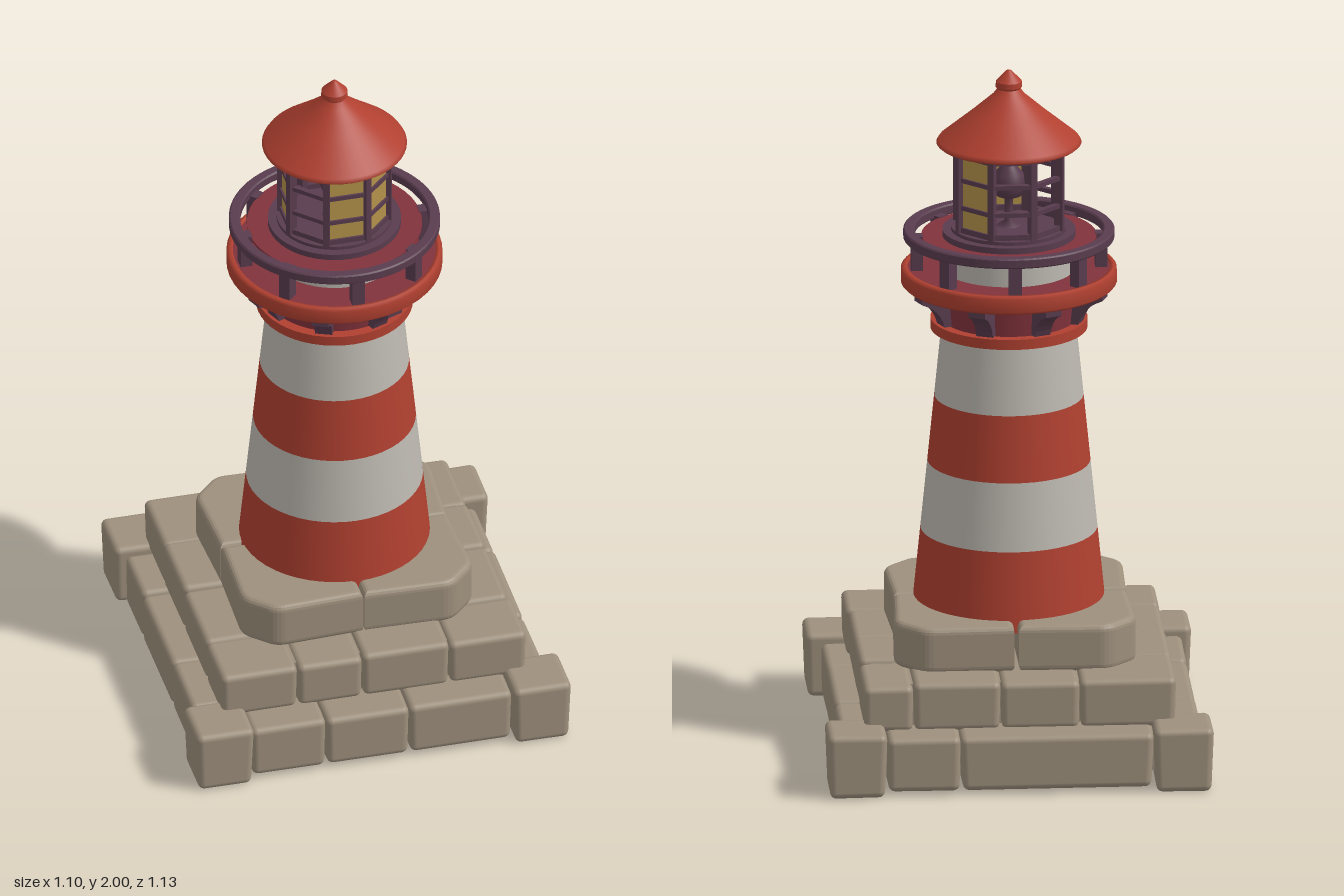
import * as THREE from 'three';
import { RoundedBoxGeometry } from 'three/addons/geometries/RoundedBoxGeometry.js';

const mat = (name, color, side = THREE.FrontSide) => {
  const m = new THREE.MeshStandardMaterial({ color, side });
  m.name = name;
  return m;
};

export function createModel() {
  const stone = mat('stone', 0x9d8f7c);
  const red = mat('red paint', 0xb04030);
  const white = mat('white paint', 0xbdb9b1);
  const maroon = mat('maroon deck', 0x82333c);
  const iron = mat('purple iron', 0x593c4e);
  const glass = mat('amber glass', 0xb3924a, THREE.DoubleSide);

  const model = new THREE.Group();
  const tower = new THREE.Group();
  tower.name = 'tower';
  tower.position.set(-0.002, 0, -0.011);
  model.add(tower);

  let seed = 7;
  const rand = () => {
    seed = (seed * 16807) % 2147483647;
    return seed / 2147483647 - 0.5;
  };
  const add = (parent, name, geometry, material, x = 0, y = 0, z = 0) => {
    const m = new THREE.Mesh(geometry, material);
    m.name = name;
    m.position.set(x, y, z);
    parent.add(m);
    return m;
  };
  const band = (name, material, y0, y1, r0, r1) =>
    add(tower, name, new THREE.CylinderGeometry(r1, r0, y1 - y0, 48), material, 0, (y0 + y1) / 2);
  const lathe = (name, material, points) =>
    add(tower, name, new THREE.LatheGeometry(points.map(p => new THREE.Vector2(...p)), 48), material);
  // A spoke holds parts placed at a given angle around the tower, facing +z
  const spoke = (parent, name, angle) => {
    const g = new THREE.Group();
    g.name = name;
    g.rotation.y = angle;
    parent.add(g);
    return g;
  };

  // Rounded, slightly irregular stone block between two corners
  const block = (x0, x1, z0, z1, y0, y1, flare = 0.03) => {
    const w = x1 - x0 - 0.003, h = y1 - y0, d = z1 - z0 - 0.003;
    const g = new RoundedBoxGeometry(w, h, d, 3, 0.019);
    const p = g.attributes.position;
    const a = rand() * 0.04, b = rand() * 0.04, c = rand() * 0.06;
    for (let i = 0; i < p.count; i++) {
      const x = p.getX(i), y = p.getY(i), z = p.getZ(i);
      p.setXYZ(i, x * (1 + a * z / d + flare * y / h), y * (1 + c * x / w), z * (1 + b * x / w + flare * y / h));
    }
    add(model, 'stoneBlock', g, stone, (x0 + x1) / 2, (y0 + y1) / 2, (z0 + z1) / 2);
  };
  const rowX = (cuts, z0, z1, y0, y1) => {
    for (let i = 0; i + 1 < cuts.length; i++) block(cuts[i], cuts[i + 1], z0, z1, y0, y1 + rand() * 0.012);
  };
  const rowZ = (cuts, x0, x1, y0, y1) => {
    for (let i = 0; i + 1 < cuts.length; i++) block(x0, x1, cuts[i], cuts[i + 1], y0, y1 + rand() * 0.012);
  };

  // Bottom course with large corner stones
  for (const sx of [-1, 1]) for (const sz of [-1, 1]) {
    const x = sx * 0.466, z = sz * 0.478;
    block(x - 0.083, x + 0.083, z - 0.084, z + 0.084, 0, 0.19, 0.09);
  }
  rowX([-0.385, -0.165, 0.08, 0.38], 0.36, 0.542, 0.012, 0.168);
  rowX([-0.38, 0.17, 0.38], -0.545, -0.36, 0.012, 0.168);
  rowZ([-0.39, -0.195, 0.15, 0.38], -0.522, -0.35, 0.012, 0.168);
  rowZ([-0.39, -0.165, 0.17, 0.39], 0.35, 0.508, 0.012, 0.165);
  add(model, 'lowerCore', new THREE.BoxGeometry(0.94, 0.11, 0.96), stone, 0, 0.1, 0);

  // Middle course
  rowX([-0.45, -0.225, -0.035, 0.22, 0.447], 0.26, 0.45, 0.165, 0.305);
  rowX([-0.45, -0.175, 0.05, 0.3, 0.442], -0.458, -0.22, 0.165, 0.305);
  rowZ([-0.235, 0, 0.26], -0.45, -0.25, 0.165, 0.305);
  rowZ([-0.215, 0, 0.26], 0.25, 0.44, 0.165, 0.305);
  add(model, 'middleCore', new THREE.BoxGeometry(0.82, 0.14, 0.82), stone, 0, 0.225, 0);

  // Top course: four quarter stones with a softened, cut outer corner
  const e = 0.02, q = 0.344 - e;
  const quarter = new THREE.Shape();
  quarter.moveTo(e, e);
  quarter.lineTo(q - 0.008, e);
  quarter.lineTo(q, q - 0.09);
  quarter.quadraticCurveTo(q, q - 0.072, q - 0.012, q - 0.058);
  quarter.lineTo(q - 0.058, q - 0.012);
  quarter.quadraticCurveTo(q - 0.072, q, q - 0.09, q);
  quarter.lineTo(e, q - 0.008);
  const quarterGeo = new THREE.ExtrudeGeometry(quarter, {
    depth: 0.14 - 2 * e, bevelThickness: e, bevelSize: e - 0.002, bevelSegments: 4, curveSegments: 4,
  }).rotateX(-Math.PI / 2);
  for (let i = 0; i < 4; i++) {
    const m = add(model, 'topStone', quarterGeo, stone, -0.005, 0.3 + e, -0.008);
    m.rotation.set(0, i * Math.PI / 2 + rand() * 0.05, 0);
    m.scale.y = 1 + rand() * 0.06;
  }

  // Striped tapering shaft
  const levels = [0.4, 0.635, 0.835, 1.03, 1.24];
  const shaftR = y => 0.273 - (y - 0.43) * 0.1;
  for (let i = 0; i < 4; i++) {
    band(i % 2 ? 'whiteStripe' : 'redStripe', i % 2 ? white : red,
      levels[i], levels[i + 1], shaftR(levels[i]), shaftR(levels[i + 1]));
  }

  // Gallery: collar, core, deck, upper wall and the ledge around the lantern
  band('collar', red, 1.232, 1.262, 0.224, 0.224);
  band('galleryCore', maroon, 1.26, 1.37, 0.195, 0.205);
  lathe('deckRim', red, [[0.2, 1.362], [0.3, 1.362], [0.308, 1.37], [0.308, 1.408],
    [0.3, 1.416], [0.29, 1.416], [0.29, 1.405]]);
  band('deckFloor', maroon, 1.372, 1.408, 0.291, 0.291);
  band('upperWall', white, 1.405, 1.502, 0.188, 0.188);
  band('lanternLedge', maroon, 1.499, 1.507, 0.25, 0.25);

  // Brackets, railing posts and handrail
  const bracket = new THREE.Shape();
  bracket.moveTo(0.185, 1.265);
  bracket.lineTo(0.216, 1.265);
  bracket.quadraticCurveTo(0.23, 1.32, 0.288, 1.342);
  bracket.lineTo(0.288, 1.365);
  bracket.lineTo(0.185, 1.365);
  const bracketGeo = new THREE.ExtrudeGeometry(bracket, { depth: 0.05, bevelEnabled: false, curveSegments: 6 })
    .translate(0, 0, -0.025).rotateY(-Math.PI / 2);
  for (let i = 0; i < 8; i++) {
    const angle = i * Math.PI / 4;
    add(spoke(tower, 'bracketSpoke', angle + Math.PI / 8), 'bracket', bracketGeo, iron);
    add(spoke(tower, 'postSpoke', angle), 'railPost',
      new THREE.BoxGeometry(0.036, 0.105, 0.034), iron, 0, 1.457, 0.263);
  }
  const ring = new THREE.Shape().absarc(0, 0, 0.297, 0, Math.PI * 2);
  ring.holes.push(new THREE.Path().absarc(0, 0, 0.273, 0, Math.PI * 2, true));
  add(tower, 'handrail', new THREE.ExtrudeGeometry(ring, {
    depth: 0.022, bevelThickness: 0.004, bevelSize: 0.004, bevelSegments: 1, curveSegments: 40,
  }).rotateX(-Math.PI / 2), iron, 0, 1.502);

  // Octagonal lantern room with some open sides
  band('lanternFloor', iron, 1.505, 1.525, 0.19, 0.19);
  band('lanternSill', iron, 1.52, 1.535, 0.165, 0.165);
  const R = 0.152, side = 2 * R * Math.sin(Math.PI / 8), flat = R * Math.cos(Math.PI / 8);
  const openSides = [2, 4, 5, 7];
  for (let i = 0; i < 8; i++) {
    const face = spoke(tower, 'lanternSide', i * Math.PI / 4);
    for (const [y, h] of [[1.542, 0.018], [1.61, 0.013], [1.692, 0.013], [1.77, 0.024]]) {
      add(face, 'glazingBar', new THREE.BoxGeometry(side, h, 0.016), iron, 0, y, flat);
    }
    if (!openSides.includes(i)) {
      add(face, 'lanternPane', new THREE.PlaneGeometry(side, 0.24), glass, 0, 1.655, flat + 0.002);
    }
    add(spoke(tower, 'mullionSpoke', (i + 0.5) * Math.PI / 4), 'mullion',
      new THREE.BoxGeometry(0.019, 0.26, 0.025), iron, 0, 1.655, R);
  }

  // Lamp inside the lantern
  lathe('lamp', iron, [[0.035, 1.535], [0.012, 1.55], [0.012, 1.615], [0.036, 1.625],
    [0.046, 1.655], [0.042, 1.69], [0.02, 1.715], [0.012, 1.738], [0, 1.74]]);

  // Conical roof with pointed finial
  lathe('roof', red, [[0, 1.778], [0.2, 1.778], [0.2, 1.778], [0.207, 1.784], [0.2, 1.795],
    [0.105, 1.874], [0.045, 1.927], [0.03, 1.948]]);
  lathe('finial', red, [[0.028, 1.94], [0.038, 1.95], [0.038, 1.95], [0.037, 1.966],
    [0.037, 1.966], [0.008, 1.997], [0, 2]]);

  return model;
}
